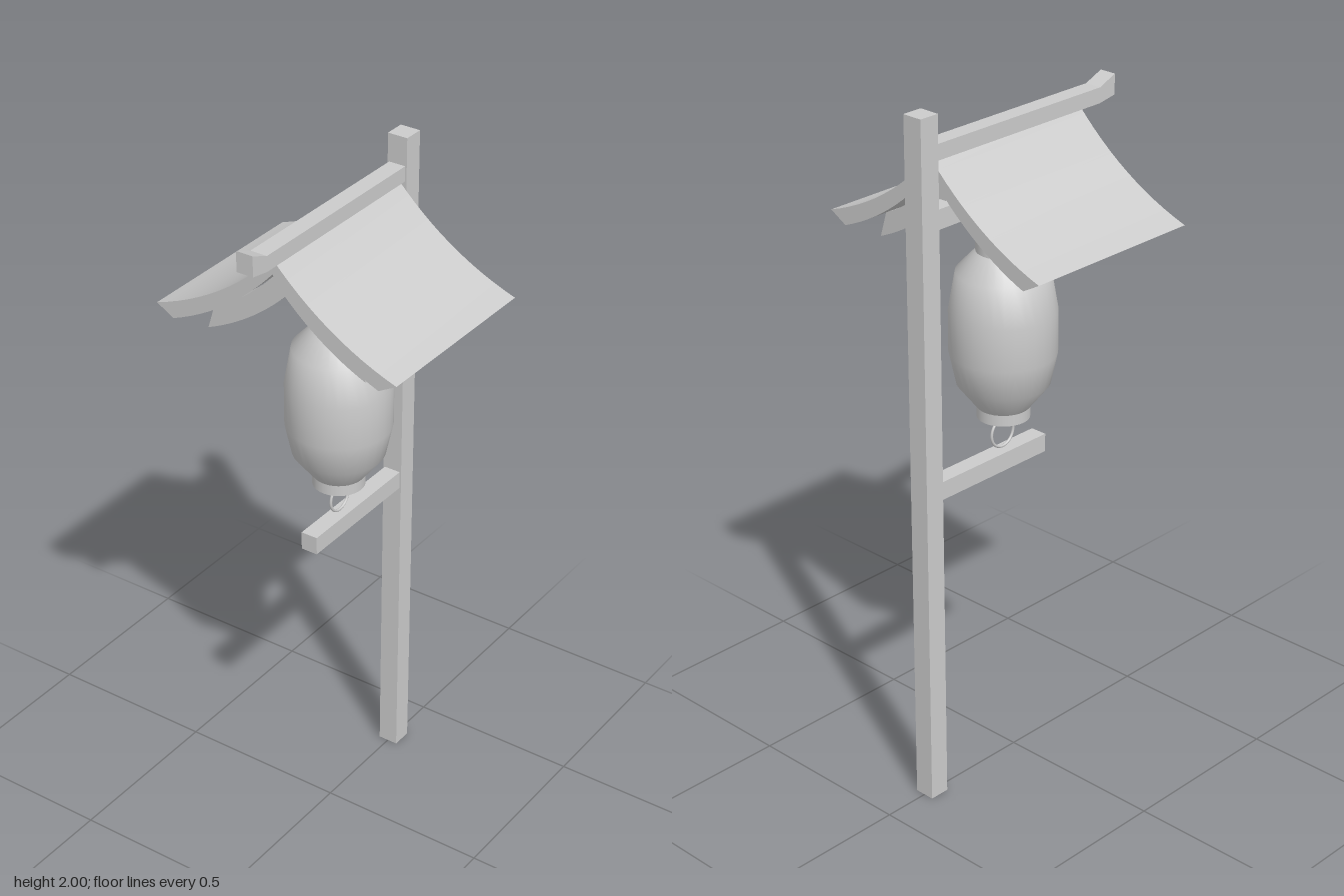
import * as THREE from 'three';
import { toCreasedNormals } from 'three/addons/utils/BufferGeometryUtils.js';

const grey = new THREE.MeshStandardMaterial({ color: 0xcccccc });

export function createModel() {
  const model = new THREE.Group();

  const add = (name, geometry) => {
    const mesh = new THREE.Mesh(geometry, grey);
    mesh.name = name;
    model.add(mesh);
    return mesh;
  };

  // Box given by its width, bottom and top, and back and front
  const beam = (name, w, y0, y1, z0, z1) =>
    add(name, new THREE.BoxGeometry(w, y1 - y0, z1 - z0))
      .position.set(0, (y0 + y1) / 2, (z0 + z1) / 2);

  // Mirrored sagging gable; top and bottom are [apexY, controlX, controlY, endX, endY]
  const gable = (name, top, bottom, z0, z1) => {
    const [ty, tcx, tcy, tx, tey] = top;
    const [by, bcx, bcy, bx, bey] = bottom;
    const s = new THREE.Shape();
    s.moveTo(0, ty);
    s.quadraticCurveTo(tcx, tcy, tx, tey);
    s.lineTo(bx, bey);
    s.quadraticCurveTo(bcx, bcy, 0, by);
    s.quadraticCurveTo(-bcx, bcy, -bx, bey);
    s.lineTo(-tx, tey);
    s.quadraticCurveTo(-tcx, tcy, 0, ty);
    const g = new THREE.ExtrudeGeometry(s, { depth: z1 - z0, bevelEnabled: false, curveSegments: 12 });
    add(name, toCreasedNormals(g, 0.5)).position.z = z0;
  };

  // Post and the two arms holding the lantern
  beam('post', 0.06, 0, 2, -0.363, -0.303);
  beam('upperArm', 0.05, 1.69, 1.745, -0.303, 0.1);
  beam('lowerArm', 0.05, 0.92, 0.973, -0.303, 0.1);

  // Roof and the rafters under it
  gable('roof', [1.88, 0.16, 1.71, 0.373, 1.64], [1.836, 0.14, 1.68, 0.32, 1.61], -0.303, 0.25);
  for (const z of [-0.245, 0.152]) {
    gable('rafter', [1.838, 0.11, 1.705, 0.225, 1.655], [1.75, 0.11, 1.64, 0.247, 1.583], z, z + 0.046);
  }

  // Ridge beam with an upturned front end, drawn from the side
  const ridge = new THREE.Shape([
    [-0.305, 1.875], [0.305, 1.875], [0.363, 1.885], [0.363, 1.943], [0.305, 1.919], [-0.305, 1.919],
  ].map(([z, y]) => new THREE.Vector2(z, y)));
  const ridgeGeometry = new THREE.ExtrudeGeometry(ridge, { depth: 0.05, bevelEnabled: false });
  ridgeGeometry.rotateY(-Math.PI / 2).translate(0.025, 0, 0);
  add('ridgeBeam', ridgeGeometry);

  // Paper lantern body
  const lanternZ = -0.04;
  const profile = [
    [0, 1.1], [0.07, 1.1], [0.128, 1.175], [0.147, 1.265],
    [0.147, 1.385], [0.128, 1.495], [0.07, 1.557], [0, 1.557],
  ].map(([r, y]) => new THREE.Vector2(r, y));
  const body = toCreasedNormals(new THREE.LatheGeometry(profile, 32), 0.75);
  add('lanternBody', body).position.z = lanternZ;

  // End caps and hanging rings
  for (const [y, h] of [[1.573, 0.042], [1.089, 0.034]]) {
    add('lanternCap', new THREE.CylinderGeometry(0.073, 0.073, h, 32)).position.set(0, y, lanternZ);
  }
  for (const y of [1.645, 1.022]) {
    const ring = add('hangingRing', new THREE.TorusGeometry(0.042, 0.004, 8, 32));
    ring.rotation.y = Math.PI / 2;
    ring.position.set(0, y, lanternZ - 0.004);
  }

  return model;
}
